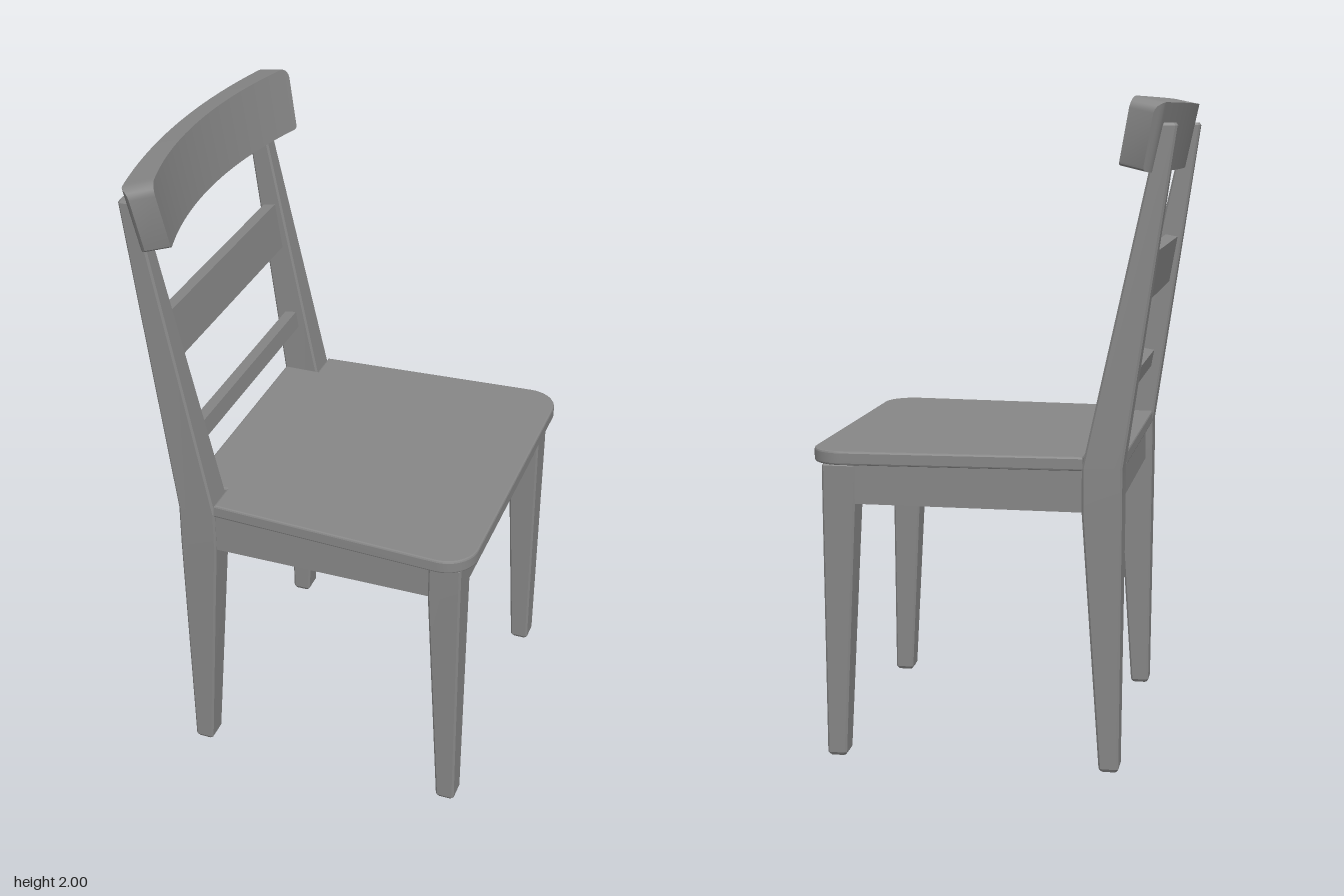
import * as THREE from 'three';
import { toCreasedNormals } from 'three/addons/utils/BufferGeometryUtils.js';

const material = new THREE.MeshStandardMaterial({ color: 0x868686 });

function add(parent, name, geometry) {
  const mesh = new THREE.Mesh(geometry, material);
  mesh.name = name;
  parent.add(mesh);
  return mesh;
}

// Tapered post with chamfered corners; rows are [y, x0, x1, z0, z1] from bottom to top
function post(rows, side) {
  const c = 0.006, n = 8, pos = [], idx = [];
  for (const [y, x0, x1, za, zb] of rows) {
    const z0 = side > 0 ? za : -zb, z1 = side > 0 ? zb : -za;
    const ring = [
      [x0 + c, z0], [x0, z0 + c], [x0, z1 - c], [x0 + c, z1],
      [x1 - c, z1], [x1, z1 - c], [x1, z0 + c], [x1 - c, z0],
    ];
    for (const [x, z] of ring) pos.push(x, y, z);
  }
  for (let r = 0; r < rows.length - 1; r++) {
    for (let i = 0; i < n; i++) {
      const a = r * n + i, b = r * n + (i + 1) % n;
      idx.push(a, b, b + n, a, b + n, a + n);
    }
  }
  const top = (rows.length - 1) * n;
  for (let i = 1; i < n - 1; i++) {
    idx.push(0, i + 1, i, top, top + i, top + i + 1);
  }
  const g = new THREE.BufferGeometry();
  g.setAttribute('position', new THREE.Float32BufferAttribute(pos, 3));
  g.setIndex(idx);
  return toCreasedNormals(g, 0.15);
}

// Flat plan outline (x, z) extruded between two heights
function slab(shape, y0, y1, bevel = 0) {
  const g = new THREE.ExtrudeGeometry(shape, {
    depth: y1 - y0 - 2 * bevel, bevelEnabled: bevel > 0, bevelThickness: bevel,
    bevelSize: bevel, bevelOffset: -bevel, bevelSegments: 2, curveSegments: 10,
  });
  g.rotateX(Math.PI / 2);
  g.translate(0, y1 - bevel, 0);
  return toCreasedNormals(g, 0.3);
}

// Seat board: wider at the front, rounded front corners, notched around the back posts
function seatGeometry() {
  const s = new THREE.Shape();
  s.moveTo(-0.397, -0.387);
  s.lineTo(-0.28, -0.387);
  s.lineTo(-0.28, -0.488);
  s.lineTo(0.44, -0.524);
  s.bezierCurveTo(0.495, -0.526, 0.542, -0.482, 0.542, -0.425);
  s.lineTo(0.542, 0.425);
  s.bezierCurveTo(0.542, 0.482, 0.495, 0.526, 0.44, 0.524);
  s.lineTo(-0.28, 0.488);
  s.lineTo(-0.28, 0.387);
  s.lineTo(-0.397, 0.387);
  s.closePath();
  return slab(s, 0.921, 0.963, 0.006);
}

// Top rail: a leaning bar bent on an arc, thicker towards its rounded ends
function crestGeometry() {
  const half = 0.506, height = 0.2, depth = 0.07, R = 1.6, round = 0.035, lean = 0.21;
  const g = new THREE.BoxGeometry(2, height, 2, 1, 1, 40);
  const p = g.attributes.position;
  for (let i = 0; i < p.count; i++) {
    const t = Math.sin(p.getZ(i) * Math.PI / 2);
    const along = half * t;
    const up = Math.sign(p.getY(i));
    const r = up > 0 ? round : 0.012;
    const over = Math.max(0, Math.abs(along) - (half - r));
    const h = up * (height / 2 - r + Math.sqrt(Math.max(0, r * r - over * over)));
    // the back face is flatter than the front and eases in at the ends
    const ease = 0.018 * Math.max(0, Math.abs(t) - 0.96) / 0.04;
    const d = p.getX(i) > 0 ? depth / 2 : -depth / 2 - 0.024 * t * t + ease;
    const x = d * Math.cos(lean) - h * Math.sin(lean);
    const y = d * Math.sin(lean) + h * Math.cos(lean);
    const angle = along / R * (up > 0 ? 1 : 0.985);
    p.setXYZ(i,
      -0.505 + R - (R - x) * Math.cos(angle),
      1.894 + y - 0.004 * (1 - t * t),
      (R - x) * Math.sin(angle));
  }
  return toCreasedNormals(g, 0.5);
}

export function createModel() {
  const model = new THREE.Group();
  model.name = 'chair';
  const chair = new THREE.Group();
  chair.name = 'chairBody';
  chair.rotation.y = 0.111; // the chair stands slightly turned
  model.add(chair);

  const backRows = [
    [0, -0.386, -0.338, 0.406, 0.469],
    [0.01, -0.392, -0.332, 0.4, 0.475],
    [0.8, -0.397, -0.278, 0.387, 0.49],
    [0.93, -0.397, -0.278, 0.387, 0.49],
    [1.915, -0.54, -0.488, 0.418, 0.466],
    [1.923, -0.535, -0.493, 0.423, 0.461],
  ];
  const frontRows = [
    [0, 0.454, 0.502, 0.408, 0.469],
    [0.01, 0.448, 0.508, 0.402, 0.475],
    [0.8, 0.407, 0.508, 0.388, 0.488],
    [0.912, 0.407, 0.508, 0.388, 0.488],
    [0.921, 0.414, 0.501, 0.395, 0.481],
  ];

  add(chair, 'seat', seatGeometry());
  add(chair, 'crestRail', crestGeometry());

  for (const side of [1, -1]) {
    const label = side > 0 ? 'Left' : 'Right';
    add(chair, 'backPost' + label, post(backRows, side));
    add(chair, 'frontLeg' + label, post(frontRows, side));
    add(chair, 'sideApron' + label, new THREE.BoxGeometry(0.72, 0.124, 0.045))
      .position.set(0.065, 0.859, side * 0.46);

    // Diagonal corner blocks under the seat
    for (const [x, dir] of [[-0.335, 1], [0.452, -1]]) {
      const s = new THREE.Shape([
        new THREE.Vector2(x, side * 0.438),
        new THREE.Vector2(x + dir * 0.155, side * 0.438),
        new THREE.Vector2(x, side * 0.283),
      ]);
      add(chair, (dir > 0 ? 'backBlock' : 'frontBlock') + label, slab(s, 0.8, 0.921));
    }
  }

  // Cross rails between the posts: [name, x, y, length, height, depth, lean]
  for (const [name, x, y, length, height, depth, lean] of [
    ['backApron', -0.352, 0.859, 0.8, 0.124, 0.045, 0],
    ['frontApron', 0.474, 0.859, 0.8, 0.124, 0.045, 0],
    ['lowerRail', -0.375, 1.145, 0.84, 0.055, 0.04, 0.17],
    ['middleSlat', -0.439, 1.478, 0.85, 0.151, 0.04, 0.17],
  ]) {
    const rail = add(chair, name, new THREE.BoxGeometry(depth, height, length));
    rail.position.set(x, y, 0);
    rail.rotation.z = lean;
  }
  return model;
}
